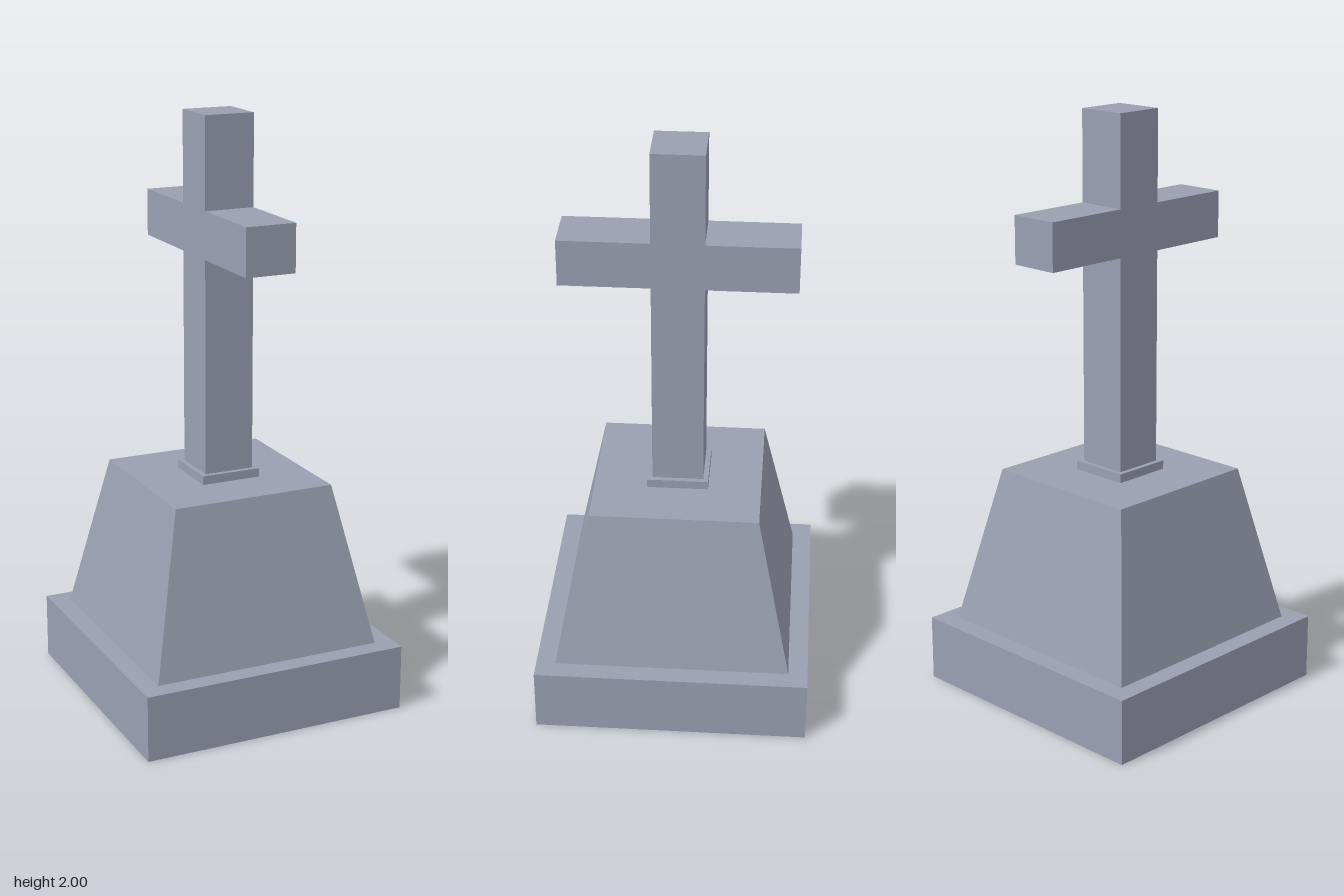
import * as THREE from 'three';

const stone = new THREE.MeshStandardMaterial({ color: 0x9aa0b2, flatShading: true });

function addMesh(group, name, geometry, y = 0) {
  const mesh = new THREE.Mesh(geometry, stone);
  mesh.name = name;
  mesh.position.y = y;
  group.add(mesh);
}

// Square block standing between two heights
function addBlock(group, name, half, y0, y1) {
  addMesh(group, name, new THREE.BoxGeometry(2 * half, y1 - y0, 2 * half), (y0 + y1) / 2);
}

export function createModel() {
  const group = new THREE.Group();
  group.name = 'graveMonument';

  addBlock(group, 'basePlinth', 0.466, 0, 0.225);

  // Tapered pedestal: a four-sided cylinder turned square to the axes
  const y0 = 0.225, y1 = 0.773;
  const pedestal = new THREE.CylinderGeometry(0.284 * Math.SQRT2, 0.4 * Math.SQRT2, y1 - y0, 4);
  pedestal.rotateY(Math.PI / 4);
  addMesh(group, 'taperedPedestal', pedestal, (y0 + y1) / 2);

  addBlock(group, 'collar', 0.104, 0.773, 0.803);

  // Cross outline, mirrored about its axis, with the arms running along z
  const half = 0.0865, arm = 0.387;
  const side = [[half, 0.803], [half, 1.533], [arm, 1.533], [arm, 1.693], [half, 1.693], [half, 2]];
  const outline = [...side, ...side.map(([x, y]) => [-x, y]).reverse()];
  const shape = new THREE.Shape(outline.map(([x, y]) => new THREE.Vector2(x, y)));
  const cross = new THREE.ExtrudeGeometry(shape, { depth: 2 * half, bevelEnabled: false });
  cross.translate(0, 0, -half);
  cross.rotateY(Math.PI / 2);
  addMesh(group, 'cross', cross);

  return group;
}
